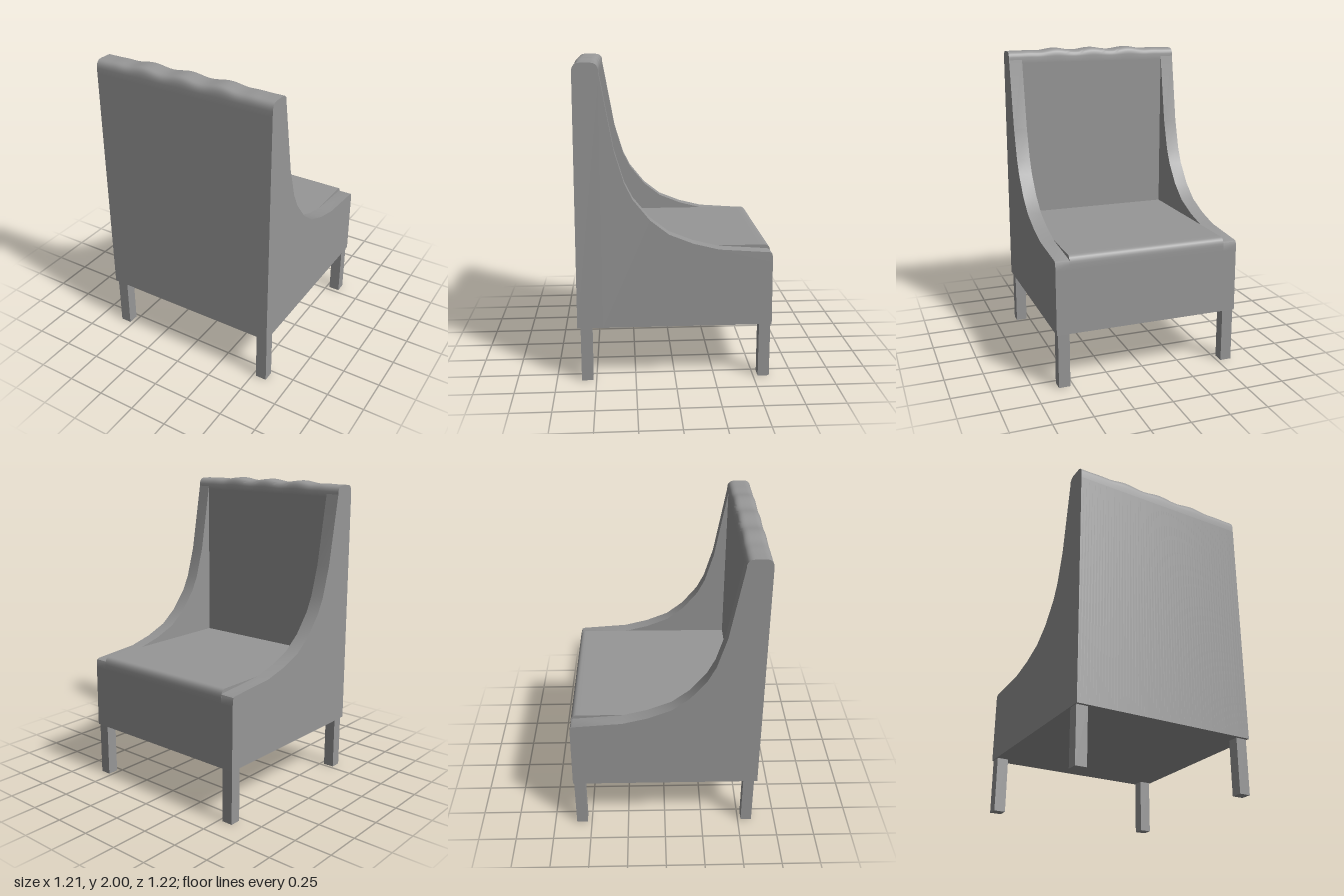
import * as THREE from 'three';
import { toCreasedNormals } from 'three/addons/utils/BufferGeometryUtils.js';

const material = new THREE.MeshStandardMaterial({ color: 0x979797 });

// Extrude a side profile (z, y) across x, centred on x = cx
function across(shape, width, cx, steps = 1) {
  const g = new THREE.ExtrudeGeometry(shape, { depth: width, steps, bevelEnabled: false, curveSegments: 6 });
  return g.rotateY(-Math.PI / 2).translate(cx + width / 2, 0, 0);
}

function part(name, geometry) {
  const mesh = new THREE.Mesh(geometry, material);
  mesh.name = name;
  return mesh;
}

export function createModel() {
  const chair = new THREE.Group();
  chair.name = 'chair';
  const half = 0.605, inner = 0.515, base = 0.355, backFront = 0.452;

  // Backrest: full-width slab with a rounded, gently scalloped top
  const back = new THREE.Shape();
  back.moveTo(backFront, base);
  back.lineTo(0.613, base);
  back.lineTo(0.6072, 1.9);
  back.lineTo(0.607, 1.935);
  back.quadraticCurveTo(0.605, 1.985, 0.56, 1.985);
  back.lineTo(0.5, 1.985);
  back.quadraticCurveTo(0.458, 1.985, backFront, 1.945);
  back.lineTo(backFront, 1.91);
  back.closePath();
  const backGeometry = across(back, half * 2, 0, 60);
  const p = backGeometry.attributes.position;
  for (let i = 0; i < p.count; i++) {
    const x = p.getX(i), y = p.getY(i);
    const fade = 1 - THREE.MathUtils.smoothstep(Math.abs(x), 0.33, 0.53);
    const weight = THREE.MathUtils.smoothstep(y, 1.92, 1.985);
    p.setY(i, y + 0.0075 * (1 + Math.cos(2 * Math.PI * x / 0.265)) * fade * weight);
  }
  chair.add(part('backrest', toCreasedNormals(backGeometry, 0.6)));

  // Seat: block between the arms with a rounded front edge
  const seat = new THREE.Shape();
  seat.moveTo(backFront, base);
  seat.lineTo(backFront, 0.85);
  seat.lineTo(-0.53, 0.852);
  seat.lineTo(-0.565, 0.852);
  seat.quadraticCurveTo(-0.602, 0.852, -0.604, 0.8);
  seat.lineTo(-0.6044, 0.765);
  seat.lineTo(-0.609, base);
  seat.closePath();
  chair.add(part('seat', toCreasedNormals(across(seat, inner * 2, 0), 0.6)));

  // Arms: sweep from the top of the back down to the seat front
  const curve = [
    [0.455, 1.945], [0.37, 1.47], [0.31, 1.27], [0.26, 1.17], [0.155, 1.04], [0.04, 0.95],
    [-0.11, 0.89], [-0.27, 0.85], [-0.585, 0.827], [-0.598, 0.82], [-0.604, 0.8], [-0.6044, 0.765],
  ];
  const arm = new THREE.Shape();
  arm.moveTo(backFront, base);
  arm.lineTo(backFront, 1.945);
  curve.forEach(([z, y]) => arm.lineTo(z, y));
  arm.lineTo(-0.609, base);
  arm.closePath();
  for (const [name, side] of [['leftArm', 1], ['rightArm', -1]]) {
    chair.add(part(name, toCreasedNormals(across(arm, half - inner, side * (half + inner) / 2), 0.6)));
  }

  // Four square legs
  for (const [sideName, x] of [['Left', 0.559], ['Right', -0.561]]) {
    for (const [endName, z] of [['back', 0.557], ['front', -0.566]]) {
      const leg = new THREE.BoxGeometry(0.074, 0.36, 0.072).translate(x, 0.18, z);
      chair.add(part(endName + sideName + 'Leg', leg));
    }
  }
  return chair;
}
